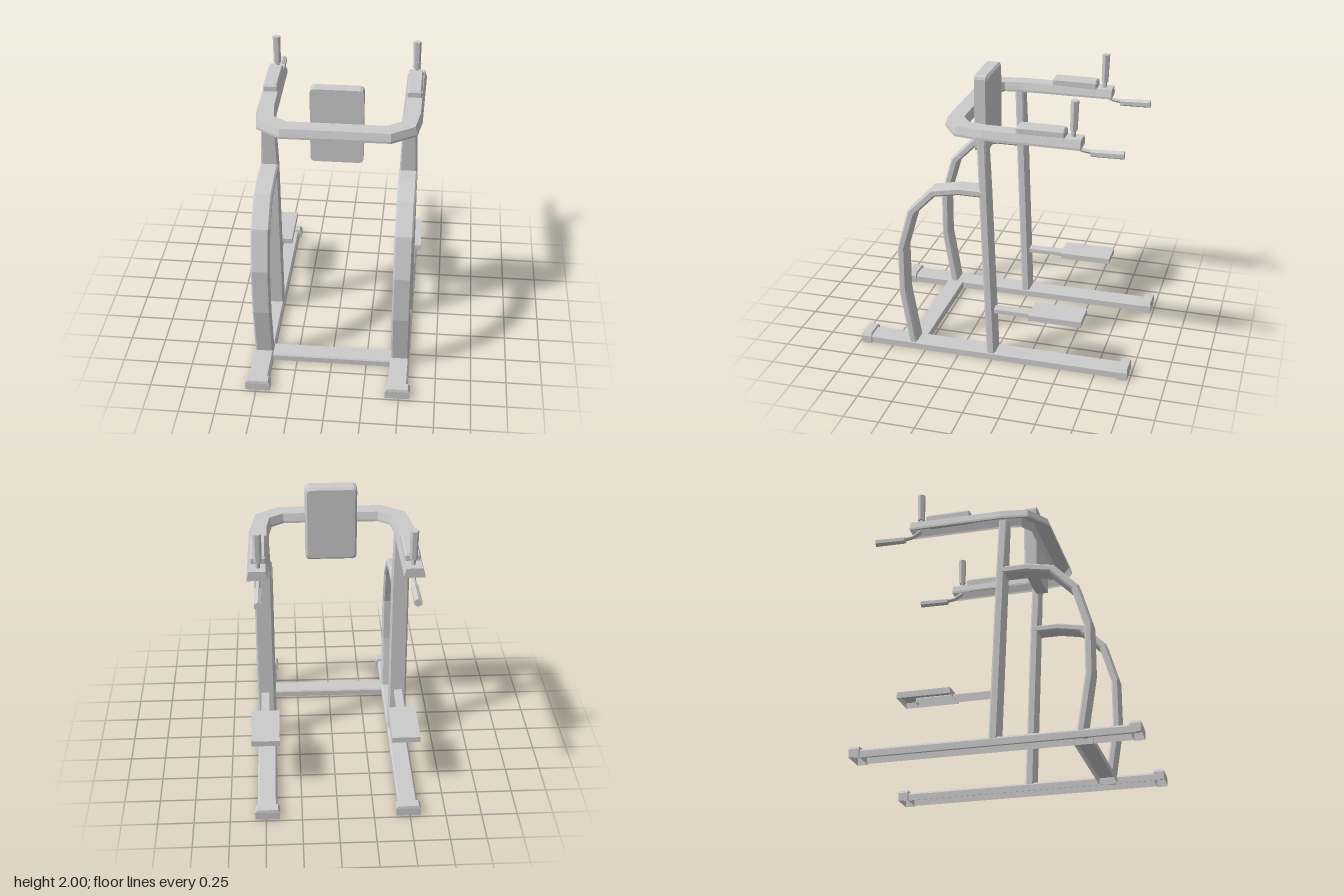
import * as THREE from 'three';

const mat = new THREE.MeshStandardMaterial({ color: 0xcccccc, flatShading: true, side: THREE.DoubleSide });
const V = (x, y, z) => new THREE.Vector3(x, y, z);
const X = V(1, 0, 0), Y = V(0, 1, 0);

// Sweeps a section of [n, b] points along a mitred path lying across axis B.
// scales: [n, b] factors per path point; open leaves the section's underside out.
function sweep(path, B, section, { scales = [], open = false, start = true, end = true } = {}) {
  const n = section.length, pos = [], idx = [];
  path.forEach((p, i) => {
    const a = p.clone().sub(path[Math.max(i - 1, 0)]).normalize();
    const b = path[Math.min(i + 1, path.length - 1)].clone().sub(p).normalize();
    const t = a.clone().add(b).normalize();
    const miter = 1 / t.dot(a.lengthSq() ? a : b);
    const N = B.clone().cross(t).normalize();
    const [sn, sb] = scales[i] || [1, 1];
    for (const [u, v] of section) {
      const q = p.clone().addScaledVector(N, u * sn * miter).addScaledVector(B, v * sb);
      pos.push(q.x, q.y, q.z);
    }
  });
  const sides = open ? n - 1 : n, last = (path.length - 1) * n;
  for (let i = 0; i < last; i += n) {
    for (let j = 0; j < sides; j++) {
      const k = (j + 1) % n;
      idx.push(i + j, i + k, i + n + k, i + j, i + n + k, i + n + j);
    }
  }
  for (let j = 1; j < n - 1; j++) {
    if (start) idx.push(0, j + 1, j);
    if (end) idx.push(last, last + j, last + j + 1);
  }
  const g = new THREE.BufferGeometry();
  g.setAttribute('position', new THREE.Float32BufferAttribute(pos, 3));
  g.setIndex(idx);
  const flat = g.toNonIndexed();
  flat.computeVertexNormals();
  return flat;
}

// Rectangle with cut corners, half sizes a and b, counter-clockwise
const chamfered = (a, b, c) => [
  [a, -b + c], [a, b - c], [a - c, b], [-a + c, b],
  [-a, b - c], [-a, -b + c], [-a + c, -b], [a - c, -b],
];
const rect = (a, b) => [[a, -b], [a, b], [-a, b], [-a, -b]];
// Channel that is open below, with sloping upper edges
const channel = (a, h, low, inset) => [[a, 0], [a, low], [a - inset, h], [-a + inset, h], [-a, low], [-a, 0]];

export function createModel() {
  const model = new THREE.Group();
  const add = (name, geometry, parent = model) => {
    const m = new THREE.Mesh(geometry, mat);
    m.name = name;
    parent.add(m);
    return m;
  };

  // Floor cross bar
  add('crossBar', sweep([V(-0.43, 0, 0.585), V(0.43, 0, 0.585)], Y, channel(0.065, 0.05, 0.04, 0.006),
    { open: true, start: false, end: false }));

  // U-shaped top bar
  const half = [V(0.513, 1.685, -0.615), V(0.506, 1.685, 0.05), V(0.482, 1.685, 0.21), V(0.355, 1.685, 0.297)];
  const mirrored = half.map(p => V(-p.x, p.y, p.z)).reverse();
  add('topBar', sweep([...half, ...mirrored], Y, channel(0.07, 0.067, 0.015, 0.016), { open: true }));

  // Back pad, rounded in outline and bevelled on the face
  const padOutline = [];
  for (const [cx, cy, a0] of [[0.155, 0.25, 0], [-0.155, 0.25, 1], [-0.155, -0.25, 2], [0.155, -0.25, 3]]) {
    for (let k = 0; k < 3; k++) {
      const a = (a0 + k / 2) * Math.PI / 2;
      padOutline.push([cx + 0.027 * Math.cos(a), cy + 0.027 * Math.sin(a)]);
    }
  }
  add('backPad', sweep([V(0, 1.715, 0.222), V(0, 1.715, 0.142), V(0, 1.715, 0.127)], Y, padOutline,
    { scales: [[1, 1], [1, 1], [0.92, 0.945]] }));

  // Everything that repeats on both sides
  for (const s of [1, -1]) {
    const side = new THREE.Group();
    side.name = s > 0 ? 'leftSide' : 'rightSide';
    model.add(side);
    const x = s * 0.49, ax = s * 0.508;

    // Floor rail and its end caps
    add('floorRail', sweep([V(x, 0, -0.95), V(x, 0, 0.95)], Y, channel(0.069, 0.06, 0.045, 0.012),
      { open: true, start: false, end: false }), side);
    for (const z of [-0.947, 0.947]) {
      add('railCap', sweep([V(x, 0, z), V(x, 0.057, z), V(x, 0.077, z)], X, rect(0.036, 0.086),
        { scales: [[1, 1], [1, 1], [0.9, 0.84]], start: false }), side);
    }

    // Leaning upright, narrower at the top
    add('upright', sweep([V(x, 0.05, 0.008), V(x, 1.3, 0.053), V(x, 1.69, 0.068)], X, chamfered(0.032, 0.065, 0.012),
      { scales: [[1, 1], [1, 0.96], [1, 0.74]] }), side);

    // Curved brace behind the upright
    const arch = [[0.59, 0.04], [0.658, 0.455], [0.658, 0.8], [0.575, 1.085], [0.415, 1.25], [0.235, 1.285], [0.06, 1.285]];
    add('curvedBrace', sweep(arch.map(([z, y]) => V(x, y, z)), X, chamfered(0.028, 0.065, 0.012)), side);

    // Foot step: arm and plate, both open below
    const fx = s * 0.495;
    add('stepArm', sweep([V(fx, 0.365, 0.01), V(fx, 0.365, -0.54)], Y, channel(0.032, 0.036, 0.03, 0.004),
      { open: true }), side);
    add('stepPlate', sweep([V(fx, 0.383, -0.465), V(fx, 0.425, -0.465)], X, rect(0.187, 0.1),
      { start: false }), side);

    // Arm pad
    add('armPad', sweep([V(ax, 1.745, -0.34), V(ax, 1.788, -0.34), V(ax, 1.803, -0.34)], X, chamfered(0.165, 0.053, 0.008),
      { scales: [[1, 1], [1, 1], [0.94, 0.8]] }), side);

    // Upright hand grip on a thin stem
    const stem = add('gripStem', new THREE.CylinderGeometry(0.016, 0.016, 0.09, 6), side);
    stem.position.set(ax, 1.775, -0.552);
    const grip = add('uprightGrip', new THREE.CylinderGeometry(0.029, 0.026, 0.205, 6), side);
    grip.position.set(ax, 1.897, -0.556);
    grip.rotation.set(-0.02, Math.PI / 6, 0, 'XYZ');

    // Rear hand grip on a bent stem
    const bend = new THREE.CurvePath();
    const pts = [V(ax, 1.7, -0.555), V(ax, 1.663, -0.615), V(ax, 1.656, -0.68)];
    bend.add(new THREE.LineCurve3(pts[0], pts[1]));
    bend.add(new THREE.LineCurve3(pts[1], pts[2]));
    add('rearStem', new THREE.TubeGeometry(bend, 6, 0.014, 6), side);
    const rear = add('rearGrip', new THREE.CylinderGeometry(0.026, 0.029, 0.22, 6), side);
    rear.position.set(ax, 1.652, -0.782);
    rear.rotation.x = Math.PI / 2 + 0.03;
  }
  return model;
}
